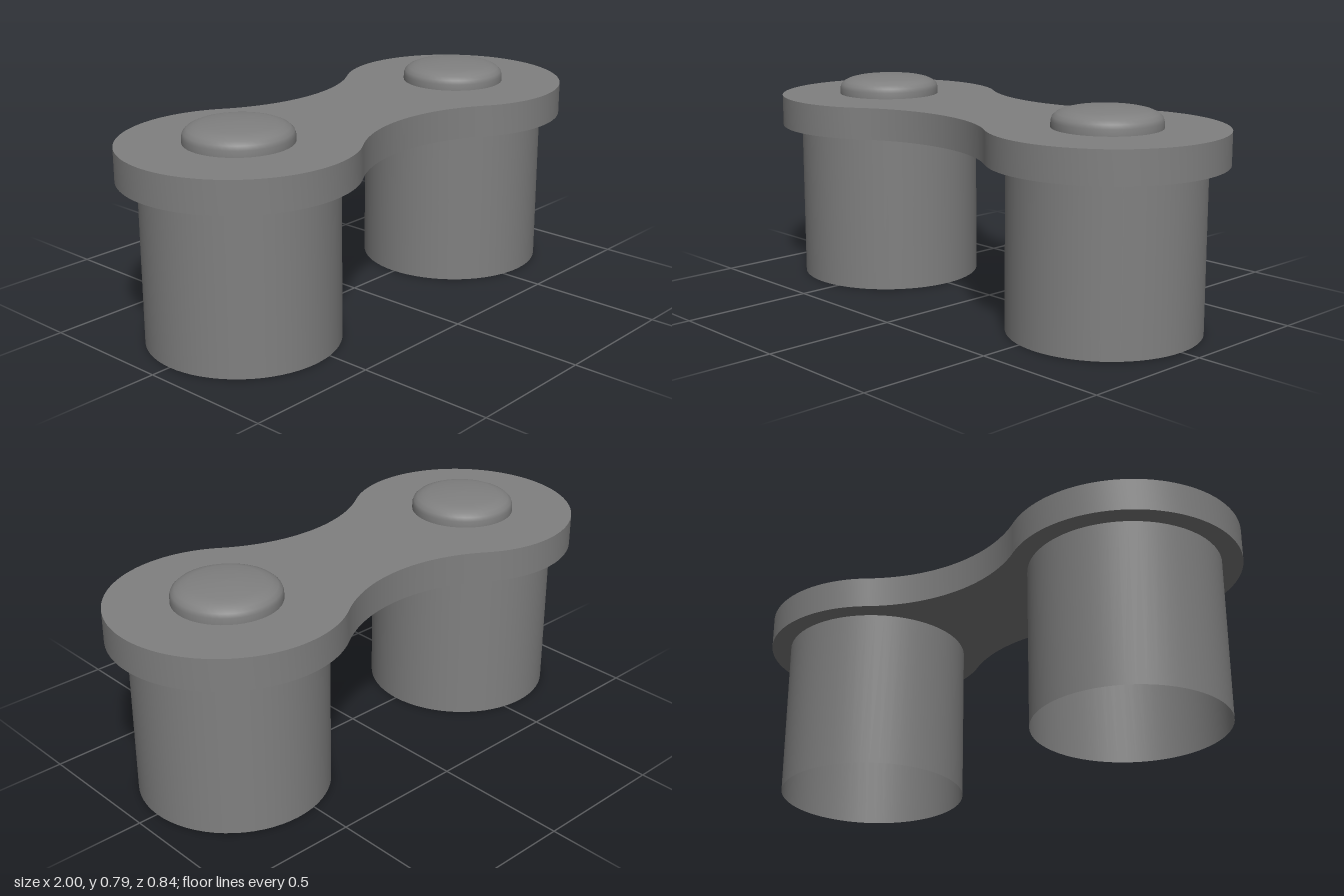
import * as THREE from 'three';
import { toCreasedNormals } from 'three/addons/utils/BufferGeometryUtils.js';

const POST_X = 0.58, POST_R = 0.346, END_R = 0.42, WAIST = 0.237;
const PLATE_Y = 0.597, PLATE_TOP = 0.715;

// Two round ends joined by tangent concave arcs
function plateOutline() {
  const r = (POST_X ** 2 + WAIST ** 2 - END_R ** 2) / (2 * (END_R - WAIST));
  const c = WAIST + r;
  const a = Math.atan2(c, POST_X);
  const s = new THREE.Shape();
  s.absarc(POST_X, 0, END_R, a - Math.PI, Math.PI - a, false);
  s.absarc(0, c, r, -a, a - Math.PI, true);
  s.absarc(-POST_X, 0, END_R, a, 2 * Math.PI - a, false);
  s.absarc(0, -c, r, Math.PI - a, a, true);
  return s;
}

export function createModel() {
  const group = new THREE.Group();
  const grey = new THREE.MeshStandardMaterial({ color: 0x808080, side: THREE.DoubleSide });
  grey.name = 'grey';

  const add = (name, geometry, x = 0, y = 0) => {
    const mesh = new THREE.Mesh(geometry, grey);
    mesh.name = name;
    mesh.position.set(x, y, 0);
    group.add(mesh);
  };

  // Connecting plate
  const plate = new THREE.ExtrudeGeometry(plateOutline(), {
    depth: PLATE_TOP - PLATE_Y, bevelEnabled: false, curveSegments: 40,
  });
  plate.rotateX(-Math.PI / 2);
  add('connectingPlate', toCreasedNormals(plate, 0.6), 0, PLATE_Y);

  // Hollow posts, open at the bottom
  const post = new THREE.CylinderGeometry(POST_R, POST_R, PLATE_Y, 64, 1, true);

  // Rounded pin heads
  const profile = [
    [0.193, 0], [0.193, 0.023], [0.188, 0.038], [0.175, 0.05],
    [0.155, 0.059], [0.13, 0.065], [0.065, 0.072], [0, 0.073],
  ].map(([r, y]) => new THREE.Vector2(r, y));
  const head = new THREE.LatheGeometry(profile, 48);

  for (const [side, x] of [['left', POST_X], ['right', -POST_X]]) {
    add(side + 'Post', post, x, PLATE_Y / 2);
    add(side + 'PinHead', head, x, PLATE_TOP);
  }
  return group;
}
